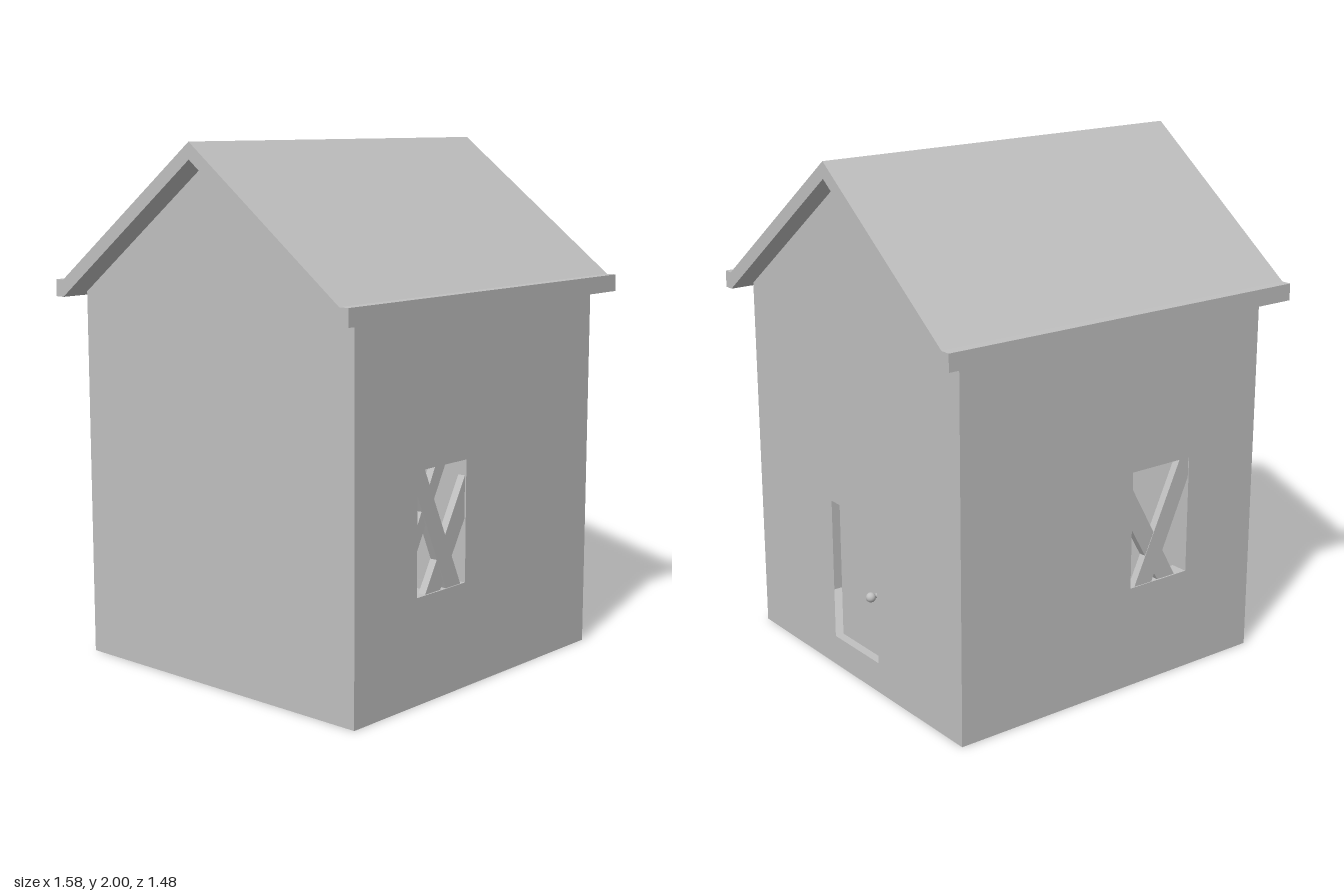
import * as THREE from 'three';

const grey = new THREE.MeshStandardMaterial({ color: 0xc0c0c0 });
grey.name = 'plain grey';

const X0 = -0.69, X1 = 0.705, Z = 0.68, EAVE = 1.41, WALL = 0.07;
const roofUnder = (z) => 1.94 - 0.755 * Math.abs(z);
const points = (list) => list.map(([a, b]) => new THREE.Vector2(a, b));
const rect = (a0, a1, b0, b1) => points([[a0, b0], [a1, b0], [a1, b1], [a0, b1]]);

export function createModel() {
  const house = new THREE.Group();
  house.name = 'house';

  function add(name, geometry, x = 0, y = 0, z = 0) {
    const mesh = new THREE.Mesh(geometry, grey);
    mesh.name = name;
    mesh.position.set(x, y, z);
    house.add(mesh);
    return mesh;
  }
  // Outline in x, y, extruded from z0 to z0 + depth
  function slabZ(name, outline, z0, depth, hole) {
    const shape = new THREE.Shape(outline);
    if (hole) shape.holes.push(new THREE.Path(hole));
    return add(name, new THREE.ExtrudeGeometry(shape, { depth, bevelEnabled: false }), 0, 0, z0);
  }
  // Outline in z, y, extruded from x0 to x0 + depth
  function slabX(name, outline, x0, depth, hole) {
    const flip = (list) => list.map((p) => new THREE.Vector2(-p.x, p.y));
    const mesh = slabZ(name, flip(outline), 0, depth, hole && flip(hole));
    mesh.rotation.y = Math.PI / 2;
    mesh.position.set(x0, 0, 0);
    return mesh;
  }
  function box(name, x0, x1, y0, y1, z0, z1) {
    add(name, new THREE.BoxGeometry(x1 - x0, y1 - y0, z1 - z0),
      (x0 + x1) / 2, (y0 + y1) / 2, (z0 + z1) / 2);
  }

  // Floor and ceiling
  box('floor', X0, X1, 0, 0.08, -Z, Z);
  box('ceiling', X0 + 0.01, X1 - 0.01, 1.35, EAVE, -Z + 0.01, Z - 0.01);

  // Long walls, each with a window opening
  const windowHole = rect(-0.354, -0.075, 0.4, 0.86);
  const longWall = rect(X0 + WALL, X1 - WALL, 0.08, EAVE + 0.01);
  slabZ('frontWall', longWall, Z - WALL, WALL, windowHole);
  slabZ('backWall', longWall, -Z, WALL, windowHole);

  // Gable walls, the left one with the door opening
  const gable = points([[-Z, 0.08], [Z, 0.08], [Z, roofUnder(Z)], [0, roofUnder(0)], [-Z, roofUnder(Z)]]);
  slabX('plainGableWall', gable, X0, WALL);
  slabX('doorGableWall', gable, X1 - WALL, WALL, rect(-0.15, 0.15, 0.12, 0.68));

  // Door and its knob
  box('door', X1 - 0.065, X1 - 0.035, 0.12, 0.68, -0.15, 0.15);
  add('doorKnob', new THREE.SphereGeometry(0.019, 16, 12), X1 - 0.005, 0.37, -0.1);
  const stem = add('doorKnobStem', new THREE.CylinderGeometry(0.009, 0.009, 0.04, 12), X1 - 0.02, 0.37, -0.1);
  stem.rotation.z = Math.PI / 2;

  // Crossed boards over the windows
  const falling = points([[-0.354, 0.86], [-0.31, 0.86], [-0.098, 0.4], [-0.183, 0.4], [-0.354, 0.78]]);
  const rising = points([[-0.075, 0.8], [-0.075, 0.64], [-0.214, 0.4], [-0.3, 0.4]]);
  const upper = points([[-0.246, 0.86], [-0.188, 0.86], [-0.354, 0.55], [-0.354, 0.64]]);
  [falling, rising, upper].forEach((b, i) => slabZ('frontWindowBoard', b, Z - 0.034 - i * 0.002, 0.03));
  [falling, rising].forEach((b, i) => slabZ('backWindowBoard', b, -Z + 0.004 + i * 0.002, 0.03));

  // Pitched roof with square eave ends
  slabX('roof', points([
    [0, 2], [0.7, 1.475], [0.74, 1.475], [0.74, EAVE], [0.7, EAVE],
    [0, 1.938], [-0.7, EAVE], [-0.74, EAVE], [-0.74, 1.475], [-0.7, 1.475],
  ]), -0.79, 1.58);

  return house;
}
